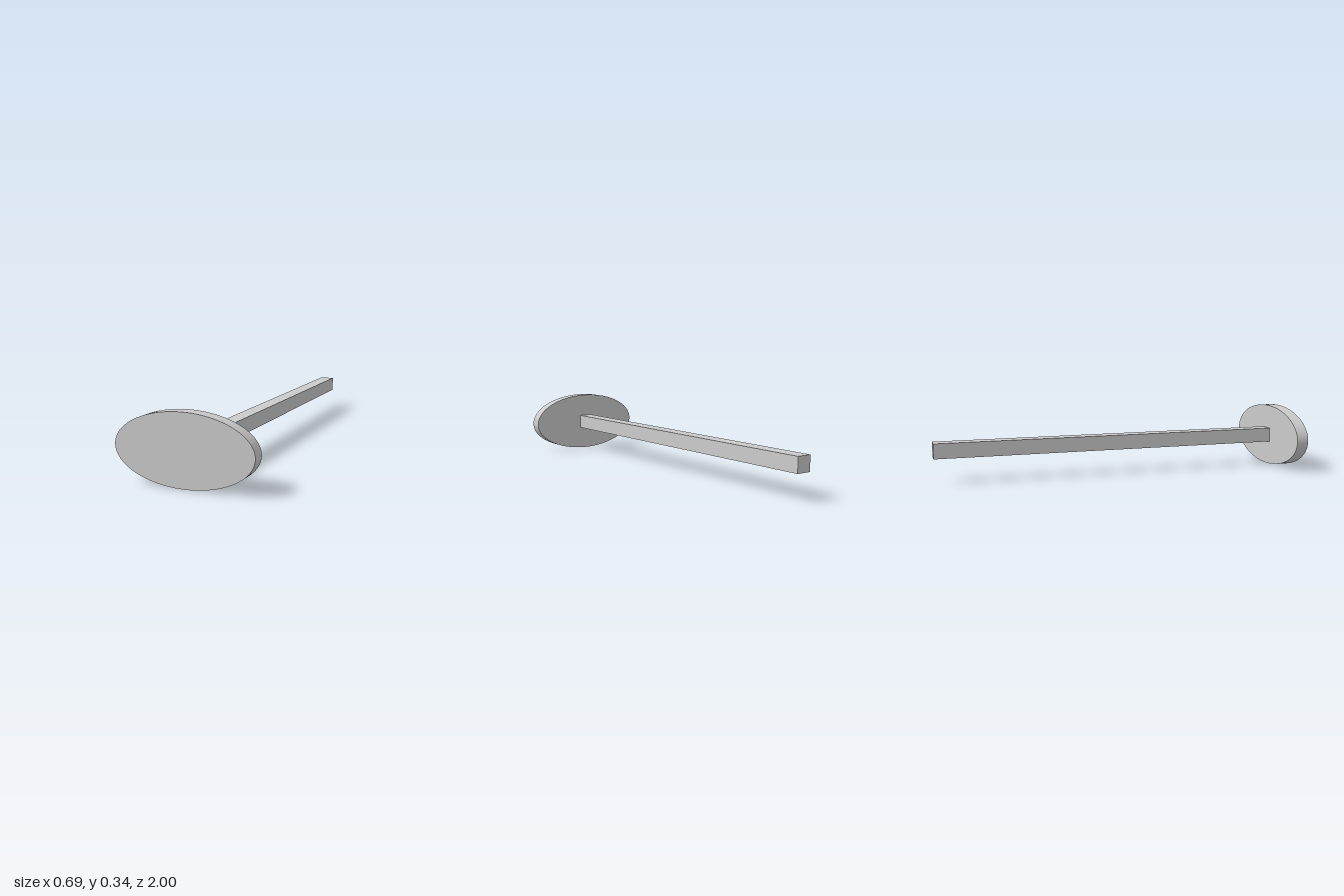
import * as THREE from 'three';

export function createModel() {
  const group = new THREE.Group();
  const material = new THREE.MeshStandardMaterial({ color: 0xcccccc });
  const centreY = 0.1725, plateBack = 0.933;

  const add = (name, geometry, z) => {
    const mesh = new THREE.Mesh(geometry, material);
    mesh.name = name;
    mesh.position.set(0, centreY, z);
    group.add(mesh);
  };

  // Oval plate facing the front
  const plate = new THREE.CylinderGeometry(1, 1, 1 - plateBack, 96);
  plate.rotateX(Math.PI / 2);
  plate.scale(0.344, 0.1725, 1);
  add('ovalPlate', plate, (1 + plateBack) / 2);

  // Square bar running back from the plate
  add('squareBar', new THREE.BoxGeometry(0.08, 0.08, 1 + plateBack), (plateBack - 1) / 2);

  return group;
}
